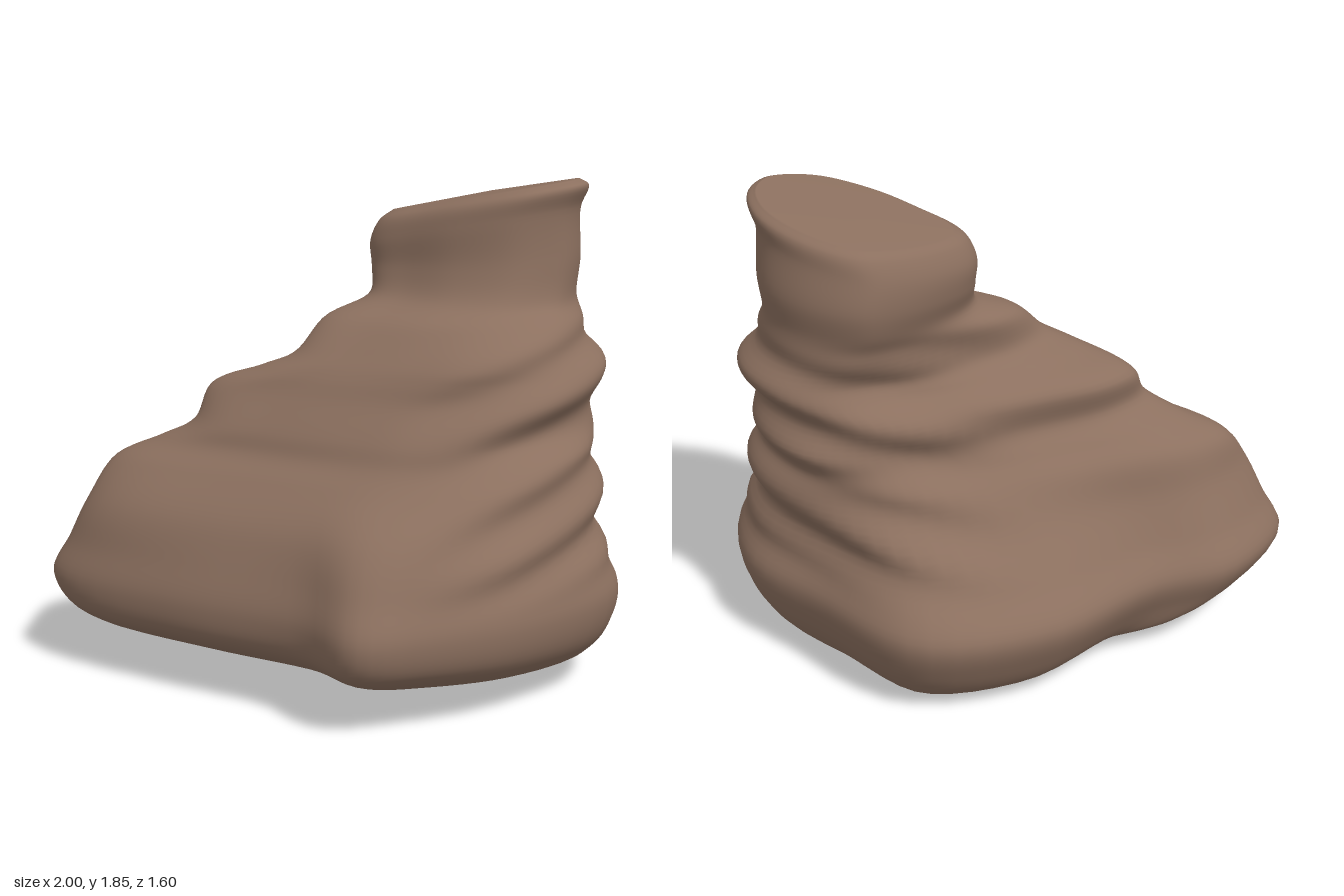
import * as THREE from 'three';

// Plan outlines (x, z), all starting at the front-left toe and running round the back
const FOOT = [[-1, .6], [-.95, .2], [-.72, -.06], [-.5, -.5], [-.1, -.8], [.4, -.68], [.78, -.55],
  [1, -.22], [.9, .28], [.68, .62], [.48, .8], [.2, .72], [-.35, .73], [-.85, .7]];
const BODY = [[-.78, .42], [-.72, .22], [-.45, -.08], [-.15, -.4], [.12, -.6], [.4, -.64], [.7, -.5],
  [.86, -.25], [.82, .08], [.65, .32], [.38, .45], [.1, .48], [-.3, .5], [-.65, .5]];
const NECK = [[0, -.14], [-.02, -.22], [.02, -.36], [.1, -.5], [.2, -.6], [.42, -.63], [.62, -.57],
  [.74, -.44], [.76, -.3], [.7, -.2], [.6, -.12], [.4, -.07], [.2, -.08], [.06, -.1]];
const SHAPES = [FOOT, BODY, NECK];

// Levels: height, x min, x max, z min, z max, shape (0 foot, 1 body, 2 neck)
const LEVELS = [
  [.015, -.2, .2, -.45, -.1, 0],
  [.02, -.5, .6, -.6, .35, 0],
  [.08, -.78, .84, -.68, .6, 0],
  [.2, -.93, .96, -.76, .77, 0],
  [.36, -1, 1, -.8, .8, 0],
  [.5, -.93, .96, -.71, .74, .2],
  [.66, -.85, .92, -.655, .64, .6],
  [.8, -.79, .9, -.65, .54, 1],
  [.88, -.64, .87, -.62, .46, 1],
  [.96, -.5, .83, -.65, .42, 1],
  [1.08, -.48, .86, -.64, .34, 1.1],
  [1.16, -.28, .855, -.66, .29, 1.2],
  [1.22, -.15, .84, -.66, .24, 1.4],
  [1.34, -.1, .77, -.63, .13, 1.7],
  [1.42, 0, .73, -.64, 0, 2],
  [1.54, -.02, .73, -.66, -.05, 2],
  [1.68, -.03, .73, -.64, -.06, 2],
  [1.755, 0, .76, -.63, -.08, 2],
  [1.785, .04, .72, -.6, -.13, 2],
];
const COLS = 72, ROWS = 110;

// One closed ring: blend two outlines, then fit them to the level's extents
function ring([y, x0, x1, z0, z1, s]) {
  const k = Math.min(1, Math.floor(s)), t = s - k;
  const flat = SHAPES[k].map((p, i) => new THREE.Vector3(
    THREE.MathUtils.lerp(p[0], SHAPES[k + 1][i][0], t), 0,
    THREE.MathUtils.lerp(p[1], SHAPES[k + 1][i][1], t)));
  const curve = new THREE.CatmullRomCurve3(flat, true);
  const pts = Array.from({ length: COLS }, (_, i) => curve.getPoint(i / COLS));
  const box = new THREE.Box3().setFromPoints(pts);
  const tiltX = .2 * THREE.MathUtils.smoothstep(y, 1.42, 1.72);
  const tiltZ = .08 * Math.max(0, 1 - y / .36);
  for (const p of pts) {
    p.x = THREE.MathUtils.mapLinear(p.x, box.min.x, box.max.x, x0, x1);
    p.z = THREE.MathUtils.mapLinear(p.z, box.min.z, box.max.z, z0, z1);
    p.y = y + tiltX * (p.x - .37) + tiltZ * Math.max(0, p.z + .45);
  }
  return pts;
}

// Slanted folds round the back and side, faint lumps on the front
function wrinkle(p) {
  const { smoothstep } = THREE.MathUtils;
  const height = smoothstep(p.y, .4, .6) * (1 - smoothstep(p.y, 1.25, 1.45));
  const back = smoothstep(p.x - p.z, -.1, .6);
  const fold = .02 * height * back * Math.sin(2 * Math.PI * (p.y - .2 * (p.x - p.z)) / .22);
  const lump = .01 * height * Math.sin(5 * p.x + 2) * Math.sin(7 * p.y);
  const out = new THREE.Vector2(p.x - .25, p.z + .2).normalize();
  p.x += out.x * (fold + lump);
  p.z += out.y * (fold + lump);
}

function createSkin() {
  const rings = LEVELS.map(ring);
  const pos = [], index = [];
  for (let i = 0; i < COLS; i++) {
    const column = new THREE.CatmullRomCurve3(rings.map(r => r[i]));
    for (let j = 0; j <= ROWS; j++) {
      const p = column.getPoint(j / ROWS);
      wrinkle(p);
      pos.push(p.x, Math.max(0, p.y), p.z);
    }
  }
  const id = (i, j) => (i % COLS) * (ROWS + 1) + j;
  const bottom = COLS * (ROWS + 1), top = bottom + 1;
  pos.push(0, .005, -.3, .38, 1.795, -.36);
  for (let i = 0; i < COLS; i++) {
    for (let j = 0; j < ROWS; j++) {
      const a = id(i, j), b = id(i + 1, j), c = id(i + 1, j + 1), d = id(i, j + 1);
      index.push(a, d, b, b, d, c);
    }
    index.push(bottom, id(i, 0), id(i + 1, 0));
    index.push(top, id(i + 1, ROWS), id(i, ROWS));
  }
  const g = new THREE.BufferGeometry();
  g.setAttribute('position', new THREE.Float32BufferAttribute(pos, 3));
  g.setIndex(index);
  g.computeVertexNormals();
  return g;
}

export function createModel() {
  const group = new THREE.Group();
  group.name = 'rockStump';
  const brown = new THREE.MeshStandardMaterial({ color: 0x8c705f });
  brown.name = 'brown';
  const body = new THREE.Mesh(createSkin(), brown);
  body.name = 'rockBody';
  group.add(body);
  return group;
}
